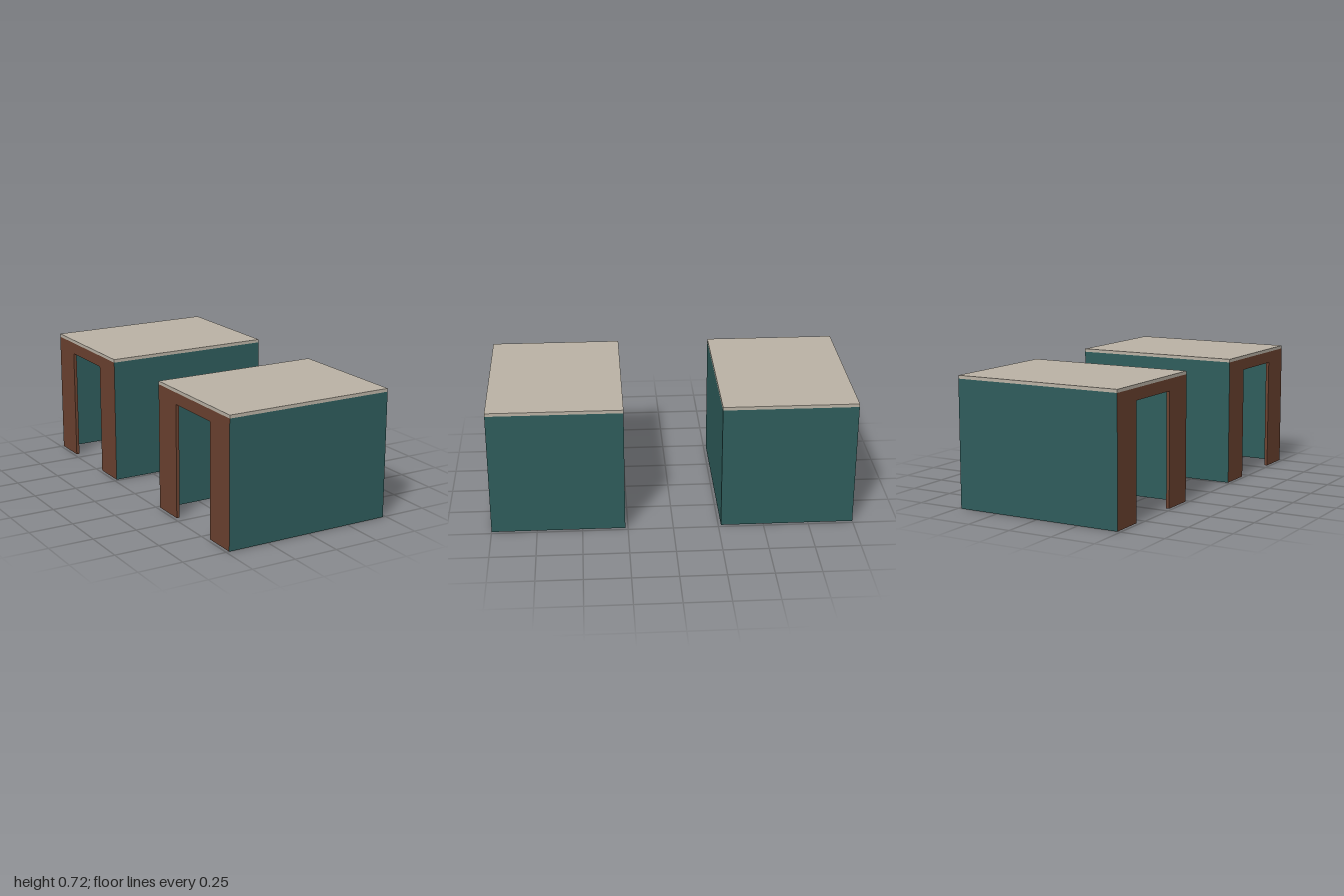
import * as THREE from 'three';

const teal = new THREE.MeshStandardMaterial({ name: 'teal wall', color: 0x2e5c5b });
const brown = new THREE.MeshStandardMaterial({ name: 'brown door wall', color: 0x6a412f });
const beige = new THREE.MeshStandardMaterial({ name: 'beige roof', color: 0xb9b1a4 });

const W = 0.964, D = 0.735, H = 0.7, T = 0.018; // hut length, depth, wall height, thickness
const PIER = 0.19, DOOR_H = 0.635;

function box(name, size, pos, material) {
  const mesh = new THREE.Mesh(new THREE.BoxGeometry(...size), material);
  mesh.name = name;
  mesh.position.set(...pos);
  return mesh;
}

function createHut(name) {
  const hut = new THREE.Group();
  hut.name = name;

  // Long side walls; their ends on the door side are brown
  const sideColours = [teal, brown, teal, teal, teal, teal];
  for (const s of [1, -1]) {
    hut.add(box(s > 0 ? 'frontWall' : 'backWall', [W, H, T], [0, H / 2, s * (D - T) / 2], sideColours));
  }

  // Closed end wall
  hut.add(box('endWall', [T, H, D - 2 * T], [(W - T) / 2, H / 2, 0], teal));

  // Door wall: one arch-shaped outline between the side walls
  const z = D / 2 - T, d = D / 2 - PIER;
  const outline = new THREE.Shape([
    [-z, 0], [-d, 0], [-d, DOOR_H], [d, DOOR_H], [d, 0], [z, 0], [z, H], [-z, H],
  ].map(([a, b]) => new THREE.Vector2(a, b)));
  const doorWall = new THREE.Mesh(
    new THREE.ExtrudeGeometry(outline, { depth: T, bevelEnabled: false }), brown);
  doorWall.name = 'doorWall';
  doorWall.rotation.y = -Math.PI / 2;
  doorWall.position.x = -W / 2 + T;
  hut.add(doorWall);

  // Flat roof slab
  hut.add(box('roof', [W, T, D], [0, H + T / 2, 0], beige));
  return hut;
}

export function createModel() {
  const model = new THREE.Group();
  model.name = 'pairOfHuts';
  for (const s of [1, -1]) {
    const hut = createHut(s > 0 ? 'frontHut' : 'backHut');
    hut.position.z = s * (1 - D / 2);
    model.add(hut);
  }
  return model;
}
